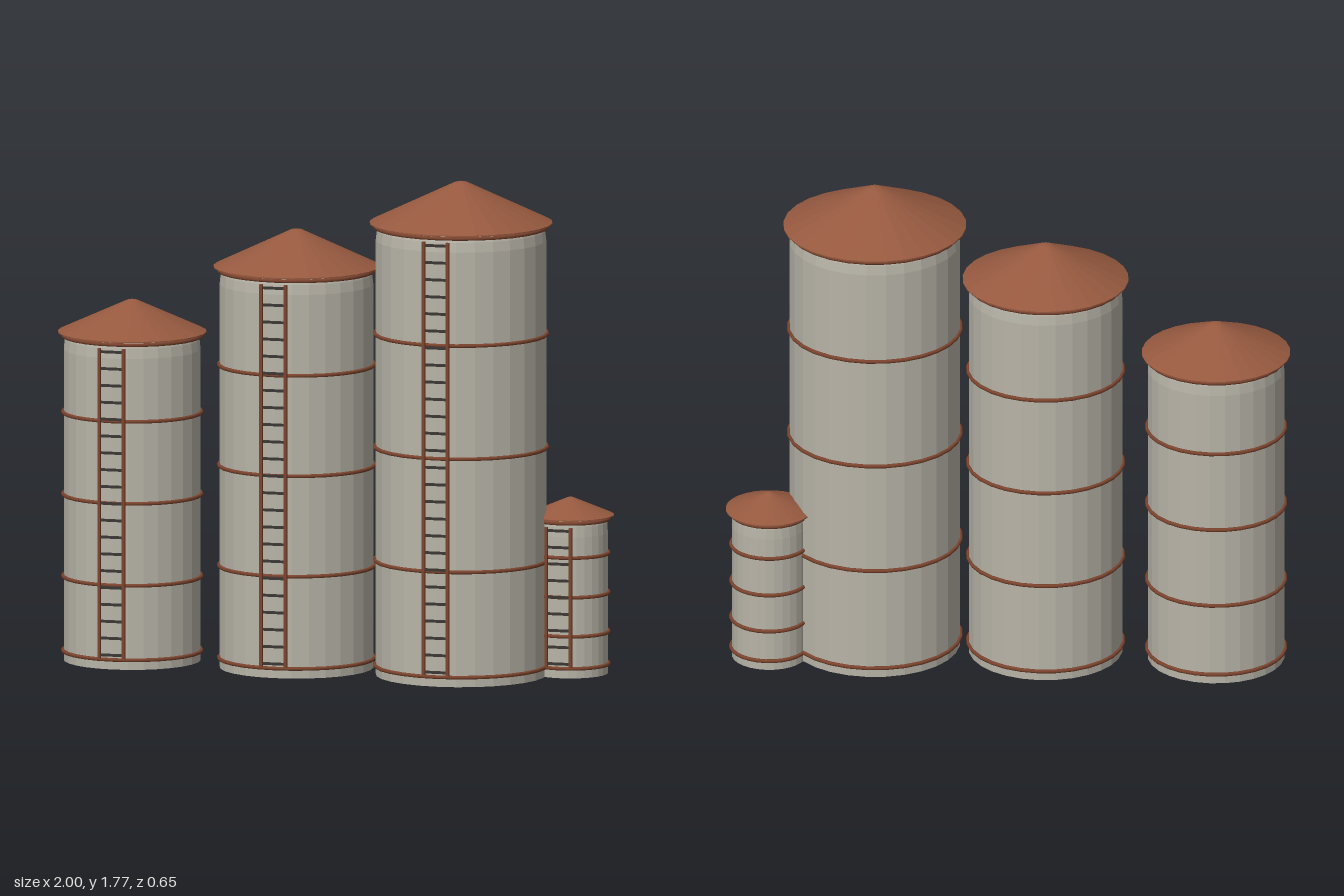
import * as THREE from 'three';

const SIDES = 28;

const mat = (name, color) => {
  const m = new THREE.MeshStandardMaterial({ color });
  m.name = name;
  return m;
};

// Faceted lathe from [radius, height] pairs, bottom to top
function facetedLathe(points) {
  const g = new THREE.LatheGeometry(points.map(([r, y]) => new THREE.Vector2(r, y)), SIDES).toNonIndexed();
  g.computeVertexNormals();
  return g;
}

export function createModel() {
  const wallMat = mat('concrete', 0xb8b4a8);
  const roofMat = mat('rust roof', 0x96593f);
  const bandMat = mat('rust band', 0x7e452e);
  const rungMat = mat('dark steel', 0x3a3734);

  const model = new THREE.Group();
  model.name = 'siloCluster';

  const add = (parent, name, geometry, material, x = 0, y = 0, z = 0) => {
    const mesh = new THREE.Mesh(geometry, material);
    mesh.name = name;
    mesh.position.set(x, y, z);
    parent.add(mesh);
  };

  function addSilo({ name, x, z, r, eave, apex, roofR, bands, rungs }) {
    const silo = new THREE.Group();
    silo.name = name;
    silo.position.set(x, 0, z);
    model.add(silo);

    // Wall with a slightly drawn-in shoulder
    add(silo, 'wall', facetedLathe([
      [0, 0], [r, 0], [r, eave - 0.06], [r * 0.985, eave - 0.025], [r * 0.96, eave], [0, eave],
    ]), wallMat);

    // Conical roof with a blunt tip and closed underside
    const h = apex - eave;
    add(silo, 'roof', facetedLathe([
      [0, 0], [roofR, 0], [roofR, 0.004], [roofR * 0.07, h * 0.97], [0, h],
    ]), roofMat, 0, eave);

    // Hoops around the wall
    const hoop = new THREE.TorusGeometry(r + 0.003, 0.007, 6, SIDES).rotateX(Math.PI / 2);
    for (const y of [0.035, ...bands, eave - 0.01]) add(silo, 'hoop', hoop, bandMat, 0, y);

    // Front ladder
    const ladder = new THREE.Group();
    ladder.name = 'ladder';
    ladder.position.z = r + 0.018;
    silo.add(ladder);
    const low = 0.042, high = eave - 0.022;
    const rail = new THREE.BoxGeometry(0.011, high - low, 0.012);
    for (const side of [-1, 1]) add(ladder, 'rail', rail, bandMat, side * 0.045, (low + high) / 2);
    const rung = new THREE.BoxGeometry(0.082, 0.009, 0.009);
    for (let i = 0; i < rungs; i++) {
      add(ladder, 'rung', rung, rungMat, 0, low + 0.012 + (high - low - 0.024) * i / (rungs - 1));
    }
  }

  addSilo({ name: 'shortSilo', x: -0.735, z: 0, r: 0.243, eave: 1.175, apex: 1.294, roofR: 0.264,
    bands: [0.302, 0.596, 0.89], rungs: 19 });
  addSilo({ name: 'middleSilo', x: -0.128, z: 0, r: 0.273, eave: 1.435, apex: 1.573, roofR: 0.295,
    bands: [0.366, 0.726, 1.086], rungs: 23 });
  addSilo({ name: 'tallSilo', x: 0.48, z: 0, r: 0.303, eave: 1.618, apex: 1.77, roofR: 0.325,
    bands: [0.412, 0.818, 1.224], rungs: 26 });
  addSilo({ name: 'smallSilo', x: 0.842, z: -0.143, r: 0.133, eave: 0.565, apex: 0.632, roofR: 0.155,
    bands: [0.15, 0.29, 0.432], rungs: 9 });

  return model;
}
